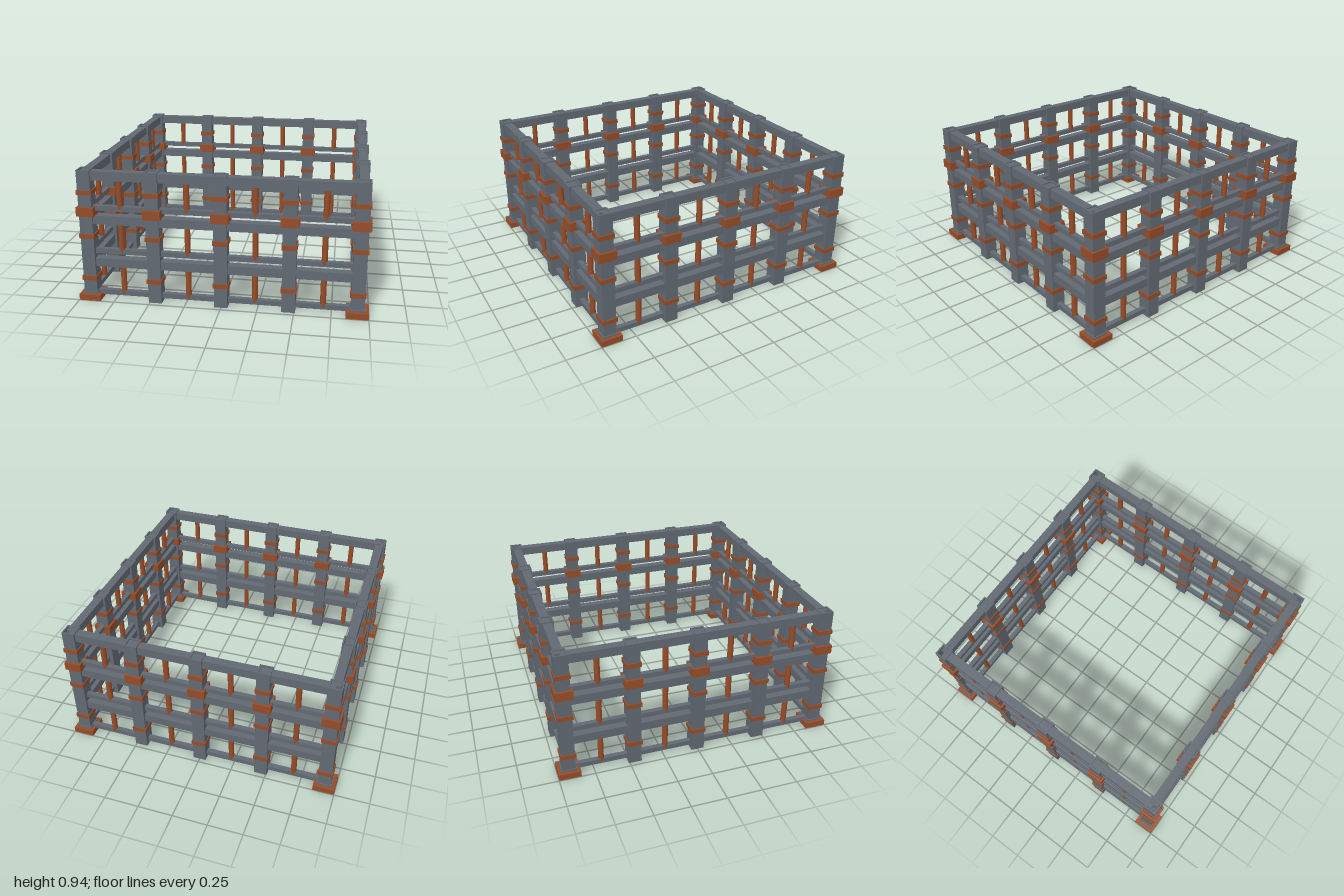
import * as THREE from 'three';

const steel = new THREE.MeshStandardMaterial({ color: 0x616972 });
steel.name = 'grey steel';
const rust = new THREE.MeshStandardMaterial({ color: 0x964c28 });
rust.name = 'rusty brown';

const R = 0.923;                          // distance of each wall from the centre
const POST = 0.092, INNER = 0.07;         // outer and inner width of the hollow posts
const HEIGHT = 0.937, TIER = 0.311;

function square(path, w) {
  const h = w / 2;
  path.moveTo(-h, -h);
  path.lineTo(h, -h);
  path.lineTo(h, h);
  path.lineTo(-h, h);
  path.closePath();
  return path;
}

// Upright square tube standing on y = 0
function tube(outer, inner, height) {
  const shape = square(new THREE.Shape(), outer);
  shape.holes.push(square(new THREE.Path(), inner));
  const g = new THREE.ExtrudeGeometry(shape, { depth: height, bevelEnabled: false });
  return g.rotateX(-Math.PI / 2);
}

const postGeo = tube(POST, INNER, HEIGHT);
const bandGeo = tube(0.106, POST - 0.002, 0.032);
const clampGeo = tube(0.122, POST - 0.002, 0.064);
const collarGeo = tube(0.108, POST - 0.002, 0.012);
const padGeo = new THREE.BoxGeometry(0.152, 0.043, 0.152);
const railGeo = new THREE.BoxGeometry(2 * R, 0.062, 0.062);
const thinRailGeo = new THREE.BoxGeometry(2 * R, 0.035, 0.035);
const barGeo = new THREE.CylinderGeometry(0.02, 0.02, 0.233, 12);

function add(parent, name, geo, mat, x, y, z = 0) {
  const m = new THREE.Mesh(geo, mat);
  m.name = name;
  m.position.set(x, y, z);
  parent.add(m);
}

// One wall along x; its first post is the shared corner
function makeWall(name) {
  const wall = new THREE.Group();
  wall.name = name;

  // Posts with their rusty bands
  for (let i = 0; i < 4; i++) {
    const x = -R + i * R / 2;
    add(wall, i ? 'post' : 'cornerPost', postGeo, steel, x, 0);
    for (let t = 0; t < 3; t++) add(wall, 'band', bandGeo, rust, x, 0.144 + t * TIER);
    add(wall, 'clamp', clampGeo, rust, x, 0.615);
  }

  // Foot of the corner post
  add(wall, 'footPad', padGeo, rust, -R, 0.0215);
  add(wall, 'footCollar', collarGeo, steel, -R, 0.043);

  // Three tiers of rails and upright bars
  for (let t = 0; t < 3; t++) {
    const y = t * TIER;
    add(wall, 'thinRail', thinRailGeo, steel, 0, 0.045 + y);
    add(wall, 'rail', railGeo, steel, 0, 0.276 + y);
    for (let i = 0; i < 4; i++) {
      add(wall, 'bar', barGeo, rust, -0.75 * R + i * R / 2, 0.16 + y);
    }
  }
  return wall;
}

export function createModel() {
  const model = new THREE.Group();
  model.name = 'squareFence';
  ['frontWall', 'leftWall', 'backWall', 'rightWall'].forEach((name, i) => {
    const wall = makeWall(name);
    const a = i * Math.PI / 2;
    wall.rotation.y = a;
    wall.position.set(Math.sin(a) * R, 0, Math.cos(a) * R);
    model.add(wall);
  });
  return model;
}
